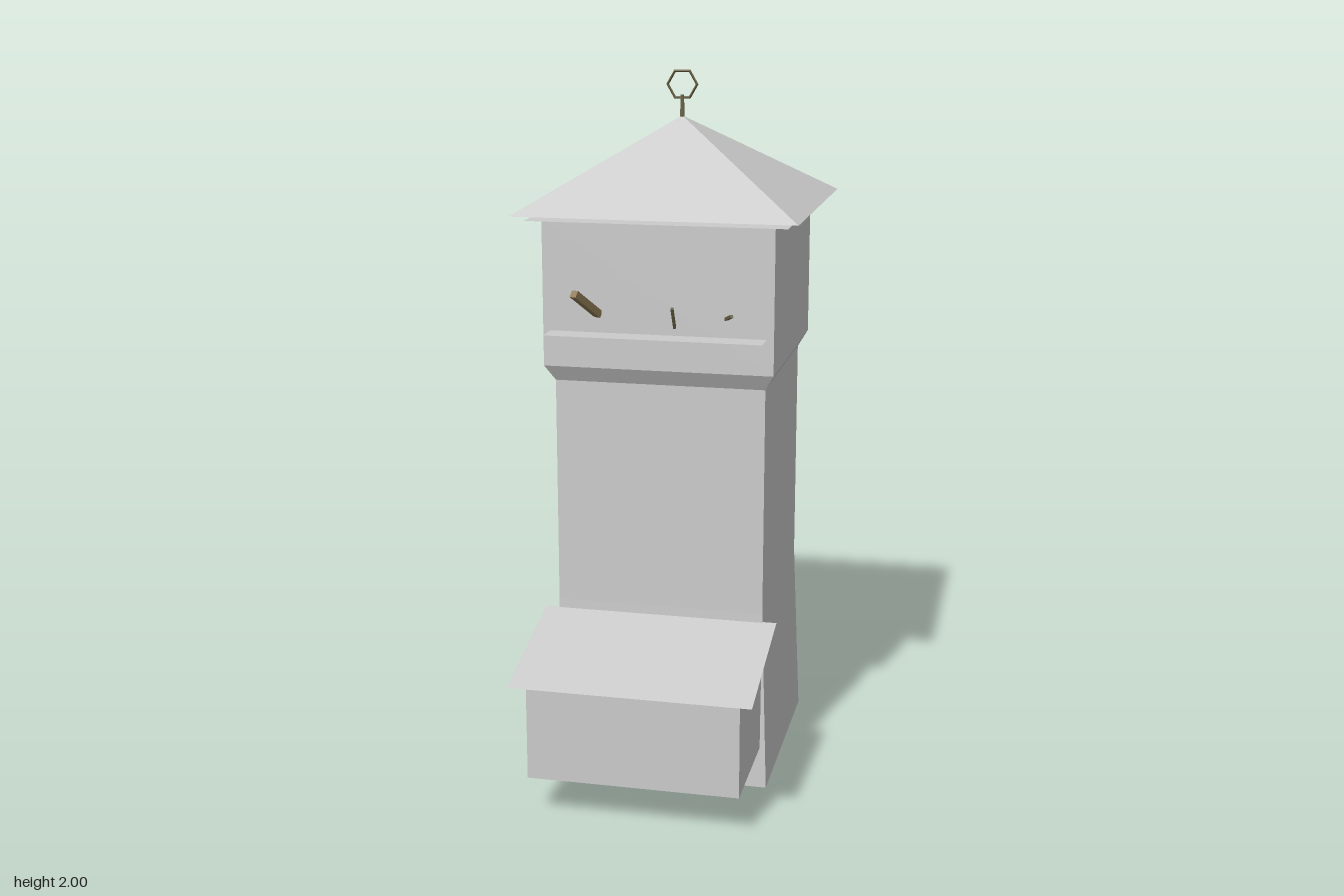
import * as THREE from 'three';

const grey = new THREE.MeshStandardMaterial({ color: 0xcccccc, flatShading: true, side: THREE.DoubleSide });
const wood = new THREE.MeshStandardMaterial({ color: 0x8f7a55, flatShading: true });
const bronze = new THREE.MeshStandardMaterial({ color: 0x6b6548, flatShading: true });

const TOWER_Z = -0.147;

export function createModel() {
  const model = new THREE.Group();
  model.name = 'tower';

  const add = (name, geometry, material, x = 0, y = 0, z = 0) => {
    const mesh = new THREE.Mesh(geometry, material);
    mesh.name = name;
    mesh.position.set(x, y, z);
    model.add(mesh);
    return mesh;
  };

  // Square shell from [half width, height] pairs, bottom to top
  const squareShell = (profile) => new THREE.LatheGeometry(
    profile.map(([half, y]) => new THREE.Vector2(half * Math.SQRT2, y)), 4, Math.PI / 4);

  // Square-section bar between two points
  const bar = (name, from, to, width, material) => {
    const a = new THREE.Vector3(...from), b = new THREE.Vector3(...to);
    const mesh = add(name, new THREE.BoxGeometry(width, width, a.distanceTo(b)), material);
    mesh.position.copy(a).add(b).multiplyScalar(0.5);
    mesh.lookAt(b);
  };

  // Tower walls: battered base, straight shaft, flared upper storey, open underneath
  add('towerWalls', squareShell([
    [0.315, 0], [0.295, 0.52], [0.295, 1.165], [0.321, 1.21], [0.321, 1.615],
  ]), grey, 0, 0, TOWER_Z);

  // Pyramid roof over a thin eave sheet
  add('roof', squareShell([[0.392, 1.63], [0, 1.873]]), grey, 0, 0, TOWER_Z);
  add('eaveSheet', new THREE.PlaneGeometry(0.72, 0.72).rotateX(Math.PI / 2), grey, 0, 1.615, TOWER_Z);

  // Finial: rod with a six-sided ring
  add('finialRod', new THREE.CylinderGeometry(0.005, 0.007, 0.07, 6), bronze, 0, 1.895, TOWER_Z);
  add('finialRing', new THREE.TorusGeometry(0.042, 0.004, 4, 6), bronze, 0, 1.959, TOWER_Z);

  // Porch raised on the front wall, with a lean-to roof sheet
  add('porch', new THREE.BoxGeometry(0.59, 0.28, 0.345), grey, 0, 0.26, 0.3175);
  const porchRoof = add('porchRoof', new THREE.PlaneGeometry(0.67, Math.hypot(0.39, 0.095)), grey, 0, 0.4475, 0.34);
  porchRoof.rotation.x = -Math.PI / 2 + Math.atan2(0.095, 0.39);

  // Shelf on the upper storey
  add('shelf', new THREE.PlaneGeometry(0.602, 0.072).rotateX(-Math.PI / 2), grey, 0, 1.31, 0.21);

  // Sticks standing out of the wall above the shelf
  bar('longStick', [-0.165, 1.36, 0.17], [-0.206, 1.432, 0.27], 0.02, wood);
  bar('middleStick', [0.05, 1.333, 0.18], [0.05, 1.393, 0.215], 0.007, bronze);
  bar('shortStick', [0.19, 1.362, 0.175], [0.218, 1.384, 0.243], 0.008, bronze);

  return model;
}
